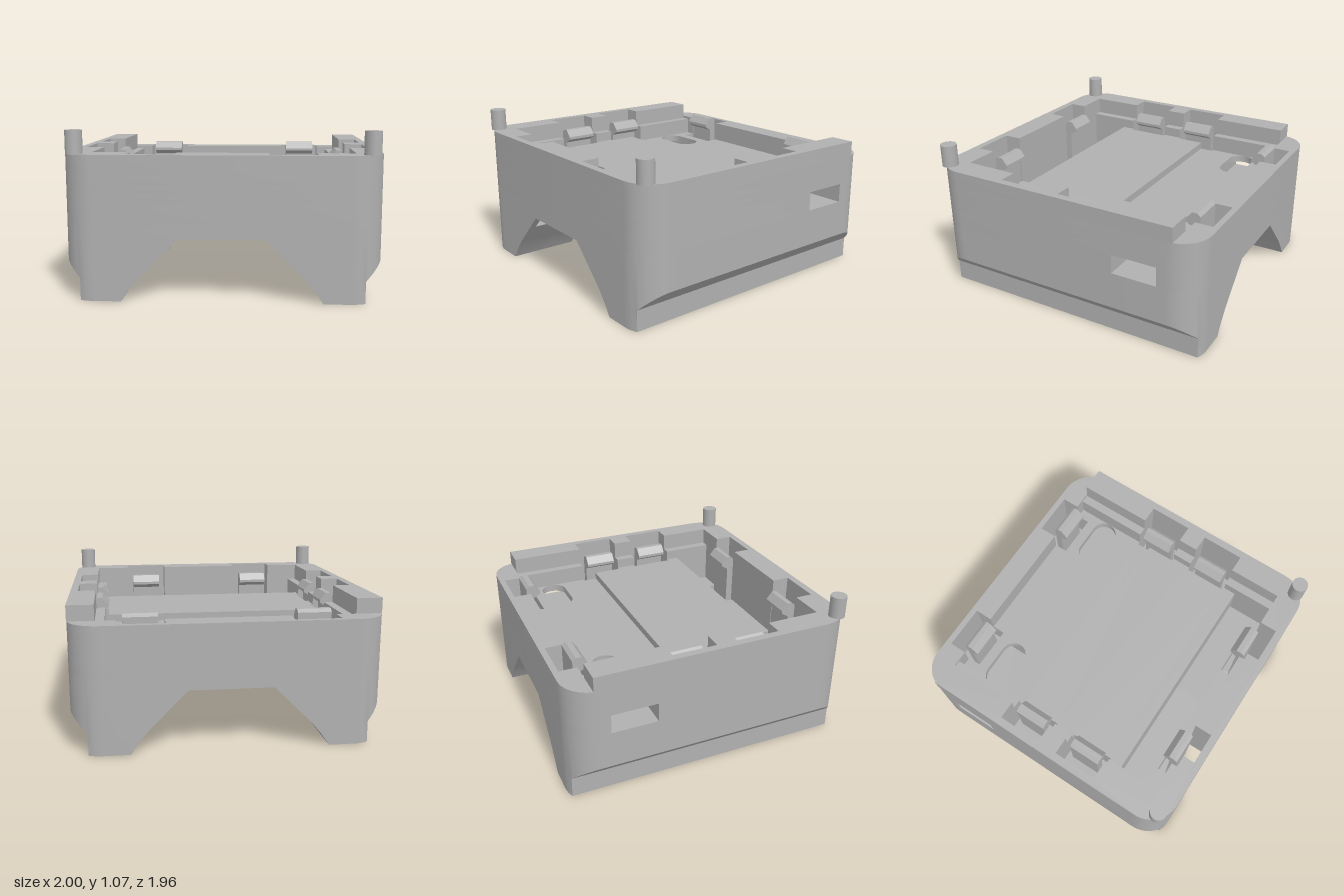
import * as THREE from 'three';
import { toCreasedNormals } from 'three/addons/utils/BufferGeometryUtils.js';

const V = (x, y) => new THREE.Vector2(x, y);
const pts = (list) => list.map(([x, y]) => V(x, y));
// completes a half outline (x >= 0) with its mirror image
const mirrored = (half) => [...half, ...half.filter((p) => p.x > 0).reverse().map((p) => V(-p.x, p.y))];
const flip = (list) => list.map((p) => V(-p.x, p.y)).reverse();
const rect = (x0, x1, z0, z1) => pts([[x0, z0], [x1, z0], [x1, z1], [x0, z1]]);

const D = 0.98, R = 0.2, FLOOR = 0.5, REAR = -0.82, FRONT = 0.81;

// quarter arc of the front corner, from the front to the side
const arc = [];
for (let i = 0; i <= 12; i++) {
  const a = (Math.PI / 2) * (1 - i / 12);
  arc.push(V(1 - R + R * Math.cos(a), D - R + R * Math.sin(a)));
}
const rearArc = arc.map((p) => V(p.x, -p.y)).reverse();

// horizontal slab with holes between two heights
function slab(outline, holes, y0, y1) {
  const shape = new THREE.Shape(outline);
  shape.holes = holes.map((h) => new THREE.Path(h));
  const g = new THREE.ExtrudeGeometry(shape, { depth: y1 - y0, bevelEnabled: false });
  g.rotateX(Math.PI / 2).translate(0, y1, 0);
  return toCreasedNormals(g, 0.5);
}

// solid swept through z stations, with a cross-section for each z
function loft(stations, section) {
  const pos = [];
  const rings = stations.map((z) => {
    const r = section(z);
    return THREE.ShapeUtils.isClockWise(r) ? r.reverse() : r;
  });
  const put = (p, z) => pos.push(p.x, p.y, z);
  for (let s = 0; s + 1 < rings.length; s++) {
    const a = rings[s], b = rings[s + 1], z0 = stations[s], z1 = stations[s + 1];
    a.forEach((p, i) => {
      const j = (i + 1) % a.length;
      put(p, z0); put(a[j], z0); put(b[j], z1);
      put(p, z0); put(b[j], z1); put(b[i], z1);
    });
  }
  const last = rings.length - 1;
  for (const [ring, z, back] of [[rings[0], stations[0], true], [rings[last], stations[last], false]]) {
    for (const t of THREE.ShapeUtils.triangulateShape(ring, [])) {
      for (const i of back ? [t[0], t[2], t[1]] : t) put(ring[i], z);
    }
  }
  const g = new THREE.BufferGeometry();
  g.setAttribute('position', new THREE.Float32BufferAttribute(pos, 3));
  return toCreasedNormals(g, 0.5);
}

// z stations between a and b, denser around the rounded corners
function stations(a, b) {
  const zs = [...arc.map((p) => p.y), 0.9586];
  const inner = [...zs, ...zs.map((z) => -z)].filter((z) => z > a + 1e-4 && z < b - 1e-4);
  return [a, ...inner.sort((p, q) => p - q), b];
}

// outer flank of a leg at depth z: wall, chamfer, foot
function flank(z) {
  const d = Math.max(0, Math.abs(z) - (D - R));
  const w = 1 - R + Math.sqrt(Math.max(0, R * R - d * d));
  const k = Math.min(w, 0.89);
  return pts([[w, FLOOR], [w, w > 0.89 ? w - 0.75 : 0.14], [k, 0.14], [k, 0]]);
}

export function createModel() {
  const model = new THREE.Group();
  const grey = new THREE.MeshStandardMaterial({ color: 0xb0b0b0 });
  grey.name = 'grey plastic';
  const add = (name, geometry, parent = model) => {
    const mesh = new THREE.Mesh(geometry, grey);
    mesh.name = name;
    parent.add(mesh);
    return mesh;
  };

  // base with the arched tunnel, wider in the middle
  const narrow = pts([[0.63, 0], [0.585, 0.07], [0.52, 0.15], [0.37, 0.3], [0.27, 0.4]]);
  const wide = pts([[0.76, 0], [0.71, 0.08], [0.63, 0.18], [0.45, 0.36], [0.33, 0.48]]);
  const base = new THREE.Group();
  base.name = 'base';
  model.add(base);
  for (const [a, b, tunnel] of [[-D, -0.43, narrow], [-0.43, 0.49, wide], [0.49, 0.73, narrow], [0.93, D, narrow]]) {
    add('baseSection', loft(stations(a, b), (z) => mirrored([V(0, FLOOR), ...flank(z), ...tunnel])), base);
  }
  // base around the front clip pockets, which break through the tunnel
  const leg = (z) => [V(0.59, FLOOR), ...flank(z), ...narrow.slice(0, 4), V(0.59, 0.3)];
  const ribZ = stations(0.73, 0.93);
  add('leftLeg', loft(ribZ, leg), base);
  add('rightLeg', loft(ribZ, (z) => flip(leg(z))), base);
  add('bridge', loft(ribZ, () => mirrored(pts([[0.29, FLOOR], [0.29, 0.38], [0.27, 0.4]]))), base);

  // tray outlines and openings
  const outline = mirrored([V(0, D), ...arc, ...rearArc, V(0, -D)]);
  const windowed = mirrored([V(0, D), ...arc,
    ...pts([[1, -0.41], [0.41, -0.41], [0.41, -0.72], [1, -0.72]]), ...rearArc, V(0, -D)]);
  const rearPocket = pts([[0.4, REAR], [0.4, -0.94], [0.7, -0.94], [0.7, REAR]]);
  const frontPocket = pts([[0.59, FRONT], [0.59, 0.93], [0.29, 0.93], [0.29, FRONT], [0, FRONT]]);
  const sideWall = (w) => pts([[w, REAR], [w, -0.3], [0.95, -0.3], [0.95, 0], [w, 0],
    [w, 0.14], [0.95, 0.14], [0.95, 0.44], [w, 0.44], [w, FRONT]]);
  const tray = (w) => mirrored([V(0, REAR), ...rearPocket, ...sideWall(w), ...frontPocket]);
  const trench = mirrored([...pts([[0, 0.53], [0.77, 0.53], [0.77, FRONT]]), ...frontPocket]);
  const both = (hole) => [hole, flip(hole)];
  const midPockets = both(rect(0.75, 0.95, 0.14, 0.44));
  const pockets = [trench, ...midPockets, ...both(rect(0.75, 0.95, -0.3, 0)), ...both(rect(0.4, 0.7, -0.94, -0.73))];
  const oval = [];
  for (let i = 0; i < 32; i++) {
    const a = ((i + 0.5) / 32) * Math.PI * 2;
    oval.push(V(0.59 + Math.sign(Math.cos(a)) * 0.09 + 0.09 * Math.cos(a), -0.57 + 0.09 * Math.sin(a)));
  }
  const rearFloor = mirrored([V(0, REAR), ...rearPocket,
    ...pts([[0.77, REAR], [0.77, -0.3], [0.95, -0.3], [0.95, 0], [0.75, 0], [0.75, -0.2], [0, -0.2]])]);

  // tray body, from the side windows up to the rim
  add('windowLayer', slab(windowed, pockets, FLOOR, 0.63));
  add('rearFloor', slab(outline, [...pockets, ...both(oval)], 0.63, 0.68));
  add('frontFloor', slab(outline, [rearFloor, trench, ...midPockets], 0.68, 0.73));
  add('lowerWall', slab(outline, [tray(0.77)], 0.73, 0.8));
  add('ledgeWall', slab(outline, [tray(0.83)], 0.8, 0.82));
  // the upper rim is open at the back
  add('upperRim', slab(mirrored([V(0, D), ...arc, V(1, REAR), ...sideWall(0.83), ...frontPocket]), [], 0.82, 0.92));

  // snap clips; local +x points away from the tray
  function clip(name, length, x, z, turn, bottom) {
    const hook = new THREE.Shape(pts([[0.05, bottom], [0.1, bottom], [0.1, 0.84], [0.075, 0.86],
      [0.04, 0.86], [0, 0.81], [0, 0.79], [0.05, 0.76]]));
    const g = new THREE.ExtrudeGeometry(hook, { depth: length, bevelEnabled: false });
    const mesh = add(name, g.translate(0, 0, -length / 2));
    mesh.position.set(x, 0, z);
    mesh.rotation.y = turn;
  }
  for (const s of [1, -1]) {
    clip('rearClip', 0.22, s * 0.55, -0.74, Math.PI / 2, FLOOR);
    clip('frontClip', 0.21, s * 0.445, 0.73, -Math.PI / 2, 0.3);
    for (const z of [-0.15, 0.29]) clip('sideClip', 0.22, s * 0.75, z, s > 0 ? 0 : Math.PI, FLOOR);

    // locating pins on the front corners
    add('pin', new THREE.CylinderGeometry(0.054, 0.054, 0.15, 32)).position.set(s * 0.918, 0.992, 0.905);
  }
  return model;
}
